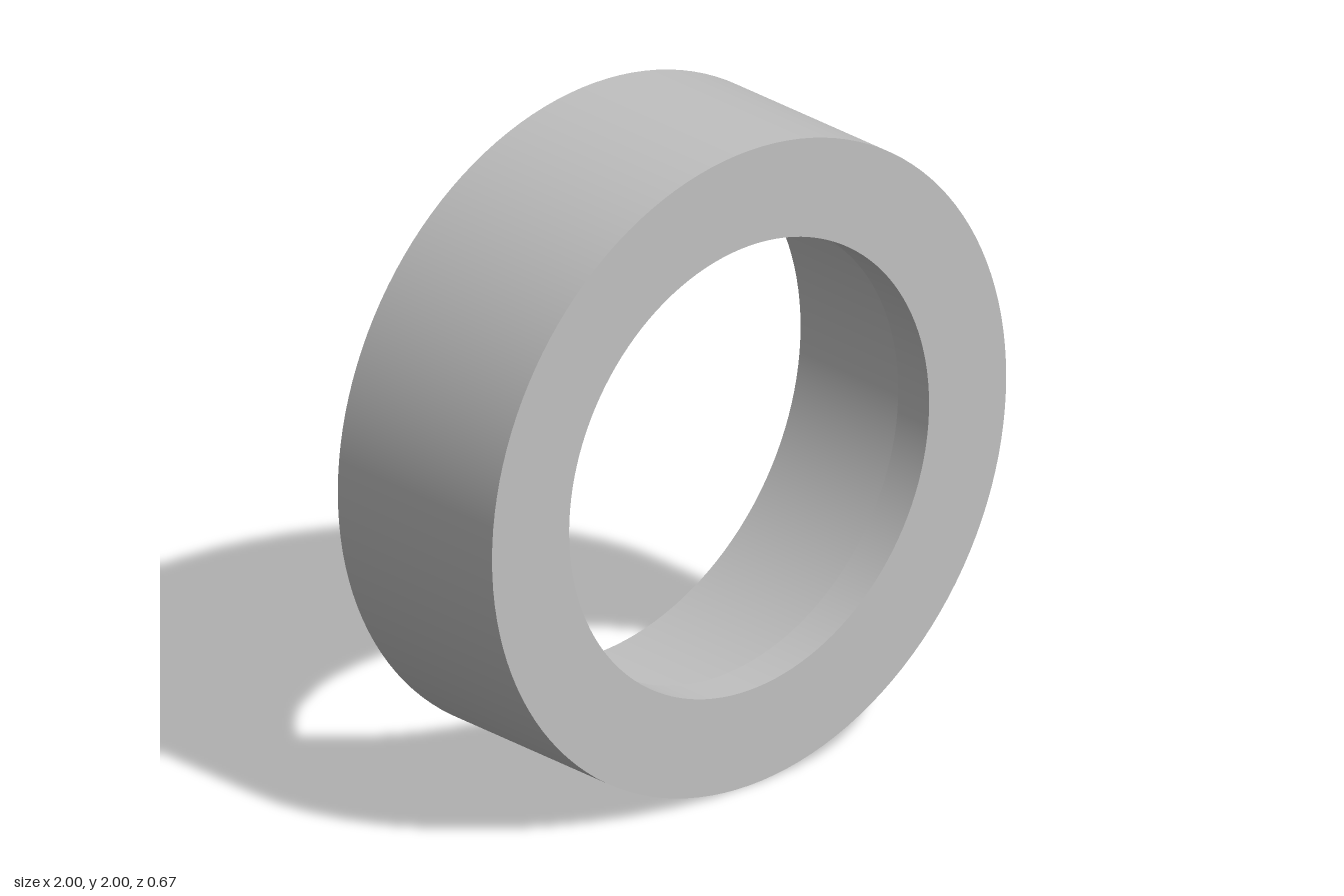
import * as THREE from 'three';
import { mergeGeometries } from 'three/addons/utils/BufferGeometryUtils.js';

const SEGMENTS = 128;

// Revolve each profile edge on its own so the corners between them stay sharp
function sharpLathe(profile) {
  const bands = profile.map(([r, z], i) => {
    const [r2, z2] = profile[(i + 1) % profile.length];
    return new THREE.LatheGeometry([new THREE.Vector2(r, z), new THREE.Vector2(r2, z2)], SEGMENTS);
  });
  return mergeGeometries(bands).rotateX(Math.PI / 2); // ring axis along z
}

export function createModel() {
  const group = new THREE.Group();
  group.name = 'steppedRing';

  const grey = new THREE.MeshStandardMaterial({ color: 0xc0c0c0 });
  grey.name = 'plain grey';

  const half = 0.333; // half the ring's depth
  const step = 0.2; // where the narrow front bore meets the wide rear bore

  // Closed cross-section as [radius, z]
  const ring = new THREE.Mesh(sharpLathe([
    [1, -half], [1, half], // outer wall
    [0.7, half], [0.7, step], // front face and lip
    [0.8, step], [0.8, -half], // shoulder and rear bore
  ]), grey);
  ring.name = 'ringBody';
  ring.position.y = 1;
  group.add(ring);

  return group;
}
